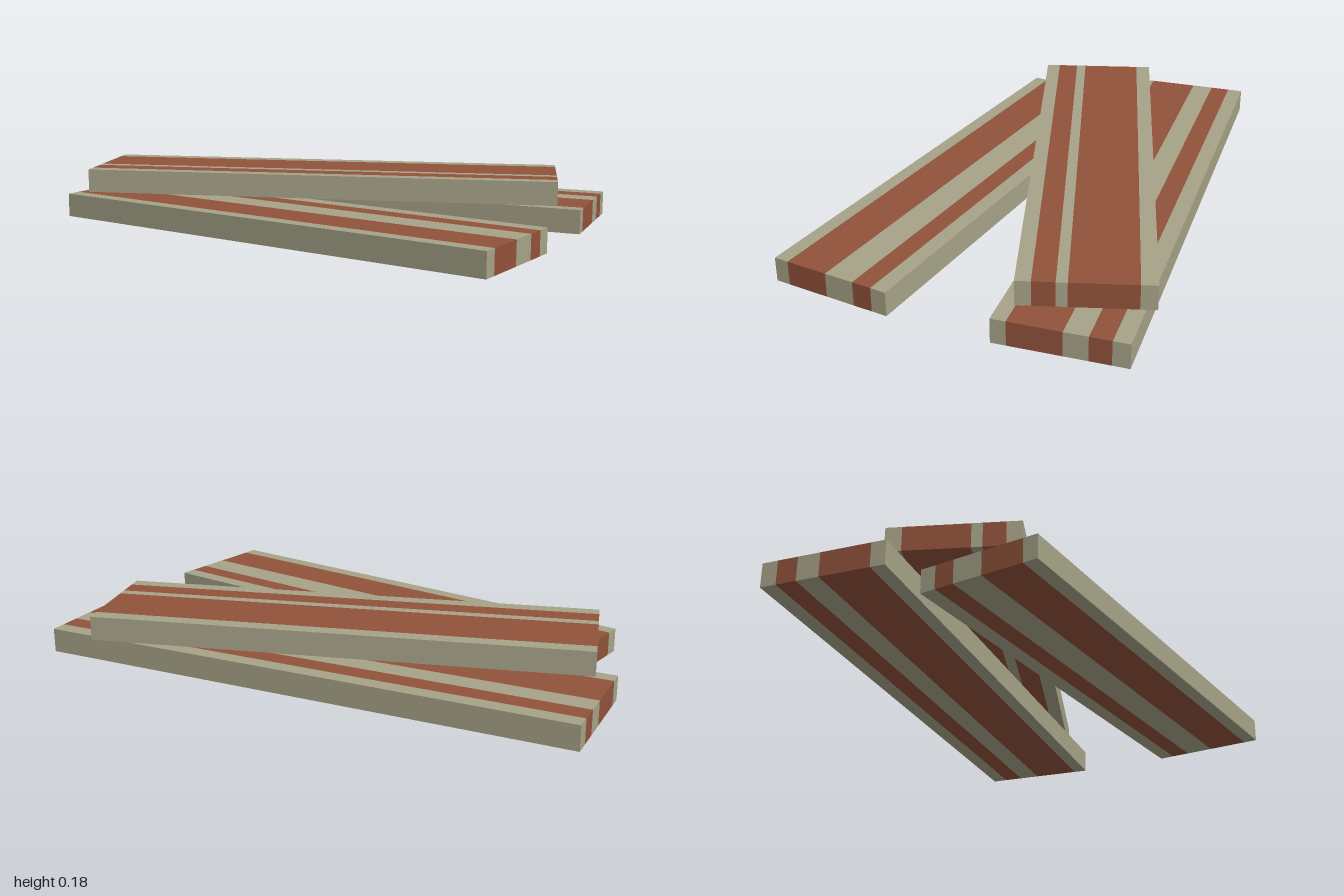
import * as THREE from 'three';

const khaki = new THREE.MeshStandardMaterial({ color: 0xa6a388 });
khaki.name = 'khaki';
const rust = new THREE.MeshStandardMaterial({ color: 0x91523a });
rust.name = 'rust red';

const THICK = 0.088;

// A plank made of full-thickness strips, alternating khaki and rust.
// edges: strip boundaries across the width, from back to front.
function plank(name, length, edges, x, y, z, turn) {
  const group = new THREE.Group();
  group.name = name;
  const half = edges[edges.length - 1] / 2;
  for (let i = 0; i < edges.length - 1; i++) {
    const width = edges[i + 1] - edges[i];
    const painted = i % 2 === 1;
    const strip = new THREE.Mesh(
      new THREE.BoxGeometry(length, THICK, width),
      painted ? rust : khaki
    );
    strip.name = painted ? 'rustStrip' : 'khakiStrip';
    strip.position.z = (edges[i] + edges[i + 1]) / 2 - half;
    group.add(strip);
  }
  group.position.set(x, y + THICK / 2, z);
  group.rotation.y = turn;
  return group;
}

export function createModel() {
  const model = new THREE.Group();
  model.name = 'plankPile';
  // two planks on the ground, one lying across them
  model.add(
    plank('backPlank', 2, [0, 0.057, 0.13, 0.211, 0.391, 0.443], 0, 0, -0.382, 0),
    plank('frontPlank', 1.788, [0, 0.057, 0.128, 0.236, 0.39, 0.443], 0.045, 0, 0.248, -0.192),
    plank('topPlank', 1.788, [0, 0.055, 0.278, 0.315, 0.391, 0.443], -0.014, THICK, -0.205, 0.246)
  );
  return model;
}
